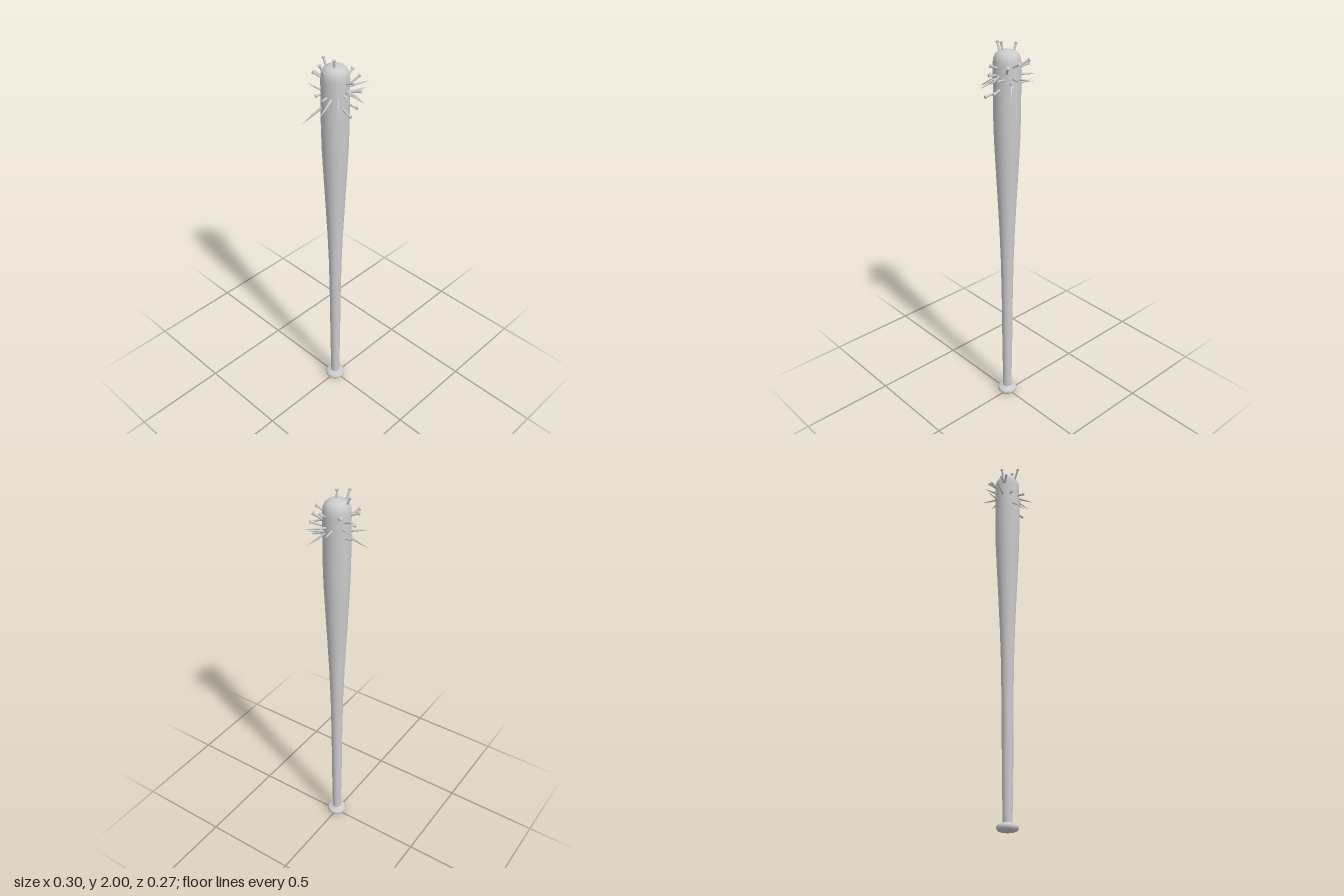
import * as THREE from 'three';

const material = new THREE.MeshStandardMaterial({ color: 0xcccccc, side: THREE.DoubleSide });

function lathe(points, segments) {
  return new THREE.LatheGeometry(points.map(([r, y]) => new THREE.Vector2(r, y)), segments);
}

// Nail running from its head to its point, both given in model space
function makeNail(head, tip) {
  const from = new THREE.Vector3(...head);
  const axis = new THREE.Vector3(...tip).sub(from);
  const length = axis.length();
  const taper = Math.min(0.085, length * 0.4);
  const mesh = new THREE.Mesh(lathe([
    [0, 0], [0.007, 0], [0.0085, 0.002], [0.0085, 0.004], [0.006, 0.007],
    [0.0052, 0.012], [0.0058, length - taper], [0.0035, length - taper * 0.4], [0, length],
  ], 10), material);
  mesh.position.copy(from);
  mesh.quaternion.setFromUnitVectors(new THREE.Vector3(0, 1, 0), axis.normalize());
  return mesh;
}

export function createModel() {
  const model = new THREE.Group();
  model.name = 'nailedBat';

  // Handle, taper, barrel and domed end in one smooth turned body
  const body = new THREE.Mesh(lathe([
    [0.023, 0.03], [0.024, 0.1], [0.027, 0.3], [0.029, 0.6], [0.033, 0.85],
    [0.039, 1.03], [0.047, 1.2], [0.056, 1.38], [0.063, 1.53], [0.066, 1.65],
    [0.066, 1.8], [0.066, 1.9], [0.063, 1.925], [0.056, 1.943], [0.044, 1.955],
    [0.026, 1.961], [0, 1.963],
  ], 48), material);
  body.name = 'batBody';

  // Rounded knob under the handle
  const knob = new THREE.Mesh(lathe([
    [0, 0.003], [0.035, 0.004], [0.046, 0.008], [0.052, 0.016], [0.053, 0.024],
    [0.05, 0.032], [0.043, 0.037], [0.03, 0.039], [0.022, 0.045],
  ], 48), material);
  knob.name = 'knob';
  for (const part of [body, knob]) {
    part.position.set(-0.005, 0, 0.002);
    model.add(part);
  }

  // Nails driven through the barrel: head, then point
  const nails = [
    [[-0.078, 1.82, -0.052], [0.15, 1.86, 0.07]],
    [[0.025, 1.78, 0.112], [-0.04, 1.84, -0.14]],
    [[-0.028, 1.76, 0.12], [0.03, 1.81, -0.13]],
    [[-0.018, 1.86, 0.105], [0.052, 1.84, -0.13]],
    [[-0.105, 1.83, 0.02], [0.14, 1.84, -0.03]],
    [[0.07, 1.92, -0.07], [-0.085, 1.78, 0.1]],
    [[0.095, 1.92, 0.015], [-0.148, 1.77, 0.043]],
    [[0.08, 1.91, 0.073], [-0.137, 1.69, -0.08]],
    [[-0.035, 1.91, -0.1], [0.028, 1.83, 0.135]],
    [[-0.06, 1.92, -0.085], [0.11, 1.76, 0.085]],
    [[0.03, 1.89, -0.103], [-0.03, 1.82, 0.13]],
    [[-0.04, 1.8, -0.03], [0.12, 1.84, 0.08]],
    [[0.055, 1.85, 0.107], [0, 1.82, -0.03]],
    [[0.002, 1.91, 0.11], [0, 1.85, -0.03]],
    // Nails in the domed end
    [[-0.088, 1.985, -0.013], [0, 1.8, 0.01]],
    [[-0.028, 1.998, 0.017], [0, 1.8, 0]],
    [[-0.013, 1.985, -0.063], [-0.01, 1.8, 0.01]],
  ];
  const nailGroup = new THREE.Group();
  nailGroup.name = 'nails';
  nails.forEach(([head, tip], i) => {
    const nail = makeNail(head, tip);
    nail.name = `nail${i + 1}`;
    nailGroup.add(nail);
  });
  model.add(nailGroup);
  return model;
}
